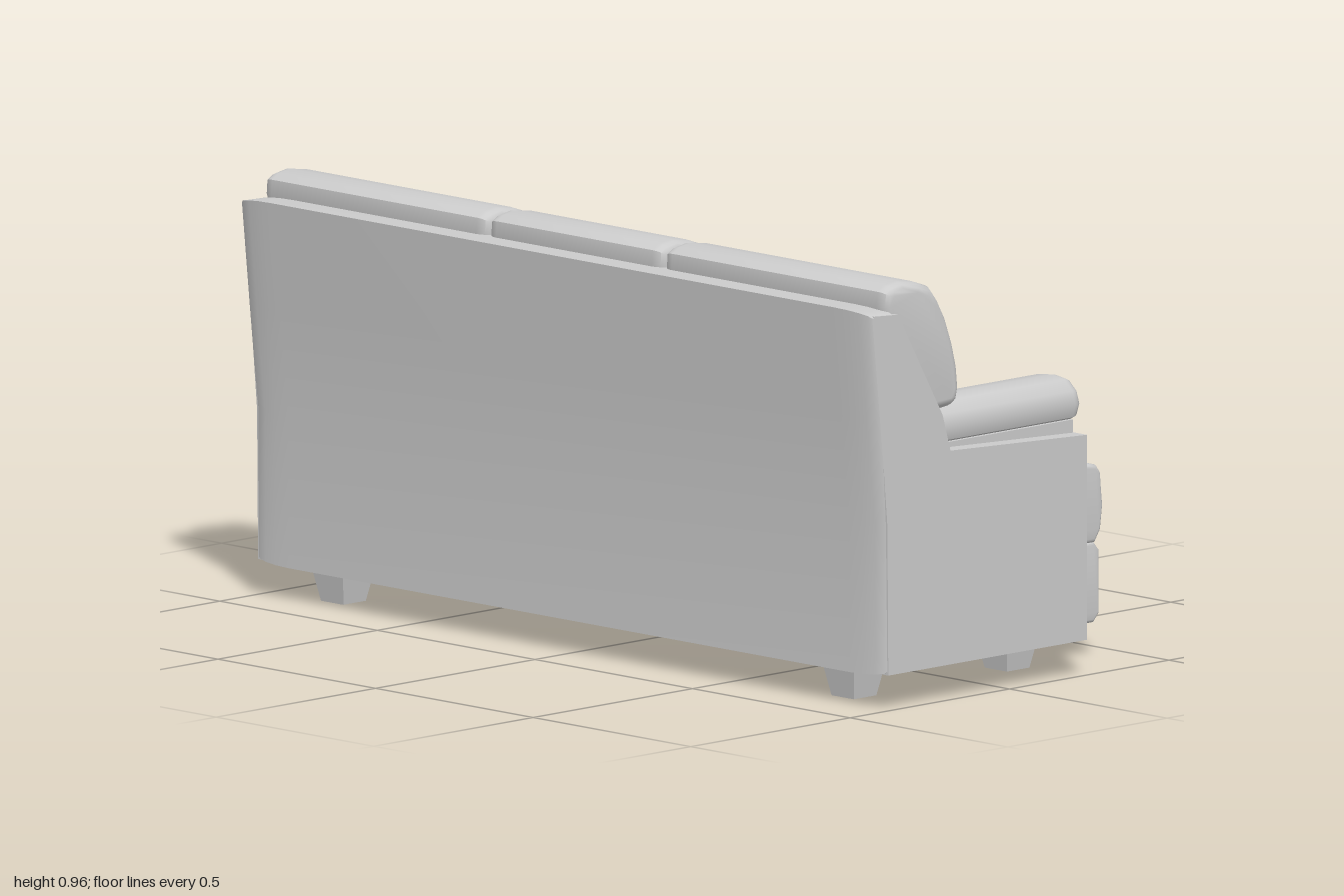
import * as THREE from 'three';
import { toCreasedNormals } from 'three/addons/utils/BufferGeometryUtils.js';

const material = new THREE.MeshStandardMaterial({ color: 0xcccccc });

function add(group, name, geometry, crease = 0.75) {
  const mesh = new THREE.Mesh(toCreasedNormals(geometry, crease), material);
  mesh.name = name;
  group.add(mesh);
  return mesh;
}

// Extrude a closed outline over a length, with softened ends inside that length
function extrude(points, length, endLength, endInset) {
  const shape = new THREE.Shape(points.map(([a, b]) => new THREE.Vector2(a, b)));
  const geometry = new THREE.ExtrudeGeometry(shape, {
    depth: length - 2 * endLength,
    bevelEnabled: endLength > 0,
    bevelThickness: endLength,
    bevelSize: endInset,
    bevelOffset: -endInset,
    bevelSegments: 4,
  });
  return geometry.translate(0, 0, endLength);
}

// Outline given as [z, y], swept sideways from x0 to x1
function sweepX(profile, x0, x1, endLength = 0, endInset = 0) {
  const geometry = extrude(profile.map(([z, y]) => [-z, y]), x1 - x0, endLength, endInset);
  return geometry.rotateY(Math.PI / 2).translate(x0, 0, 0);
}

// Outline given as [x, y], swept in depth from z0 to z1
function sweepZ(profile, side, z0, z1, endLength = 0, endInset = 0) {
  return extrude(profile.map(([x, y]) => [x * side, y]), z1 - z0, endLength, endInset).translate(0, 0, z0);
}

const backShell = [[0.25, 0.075], [0.392, 0.075], [0.394, 0.42], [0.42, 0.66], [0.445, 0.91], [0.36, 0.908], [0.25, 0.68]];
const sidePanel = [[-0.243, 0.08], [0.38, 0.08], [0.383, 0.42], [0.425, 0.9], [0.35, 0.895],
  [0.27, 0.755], [0.21, 0.65], [0.185, 0.565], [-0.243, 0.545]];
const plinth = [[-0.42, 0.075], [0.36, 0.075], [0.36, 0.26], [-0.42, 0.26], [-0.437, 0.24], [-0.438, 0.095]];
const seat = [[-0.42, 0.257], [0.2, 0.257], [0.2, 0.46], [-0.1, 0.462], [-0.26, 0.455], [-0.4, 0.439],
  [-0.425, 0.433], [-0.438, 0.415], [-0.441, 0.38], [-0.445, 0.34], [-0.438, 0.285]];
const lumbar = [[0.3, 0.42], [0.3, 0.68], [0.16, 0.68], [0.125, 0.66], [0.095, 0.62], [0.07, 0.56],
  [0.055, 0.5], [0.06, 0.44], [0.08, 0.42]];
const headrest = [[0.36, 0.86], [0.378, 0.91], [0.375, 0.945], [0.355, 0.957], [0.32, 0.963], [0.27, 0.956],
  [0.23, 0.942], [0.205, 0.91], [0.18, 0.865], [0.158, 0.805], [0.144, 0.75], [0.139, 0.7], [0.146, 0.672],
  [0.165, 0.66], [0.21, 0.655], [0.28, 0.655]];
const armPad = [[0.94, 0.57], [0.96, 0.58], [0.97, 0.61], [0.96, 0.64], [0.935, 0.663], [0.895, 0.669],
  [0.85, 0.664], [0.8, 0.64], [0.75, 0.595], [0.715, 0.545], [0.69, 0.49], [0.68, 0.45], [0.73, 0.44],
  [0.76, 0.49], [0.81, 0.54], [0.87, 0.57]];
const armCore = [[0.73, 0.08], [0.96, 0.08], [0.96, 0.575], [0.86, 0.575], [0.79, 0.54], [0.75, 0.5], [0.73, 0.46]];

export function createModel() {
  const sofa = new THREE.Group();
  sofa.name = 'sofa';

  // Frame
  add(sofa, 'backShell', sweepX(backShell, -1, 1, 0.11, 0.014));
  add(sofa, 'plinth', sweepX(plinth, -0.845, 0.845, 0.01, 0.008), 0.5);

  // Three places across: seat, lower back and headrest cushions
  const places = [-1, 0, 1];
  const span = (place, outer) => (place === 0 ? [-0.277, 0.277] : place > 0 ? [0.28, outer] : [-outer, -0.28]);
  for (const place of places) {
    add(sofa, 'seatCushion', sweepX(seat, ...span(place, 0.85), 0.012, 0.01));
    add(sofa, 'lowerBackCushion', sweepX(lumbar, ...span(place, 0.8), 0.035, 0.02));
    add(sofa, 'headrestCushion', sweepX(headrest, ...span(place, 0.99), 0.03, 0.022));
  }

  // Arms, mirrored
  for (const side of [-1, 1]) {
    const arm = new THREE.Group();
    arm.name = side > 0 ? 'leftArm' : 'rightArm';
    add(arm, 'sidePanel', side > 0 ? sweepX(sidePanel, 0.955, 1) : sweepX(sidePanel, -1, -0.955), 0.4);
    add(arm, 'armCore', sweepZ(armCore, side, -0.238, 0.3));
    add(arm, 'armPad', sweepZ(armPad, side, -0.262, 0.25, 0.025, 0.02));
    sofa.add(arm);

    // Tapered square feet
    for (const z of [0.3, -0.18]) {
      const foot = new THREE.CylinderGeometry(0.0735, 0.05, 0.085, 4).rotateY(Math.PI / 4);
      add(sofa, 'foot', foot, 0.3).position.set(side * 0.81, 0.0425, z);
    }
  }
  return sofa;
}
